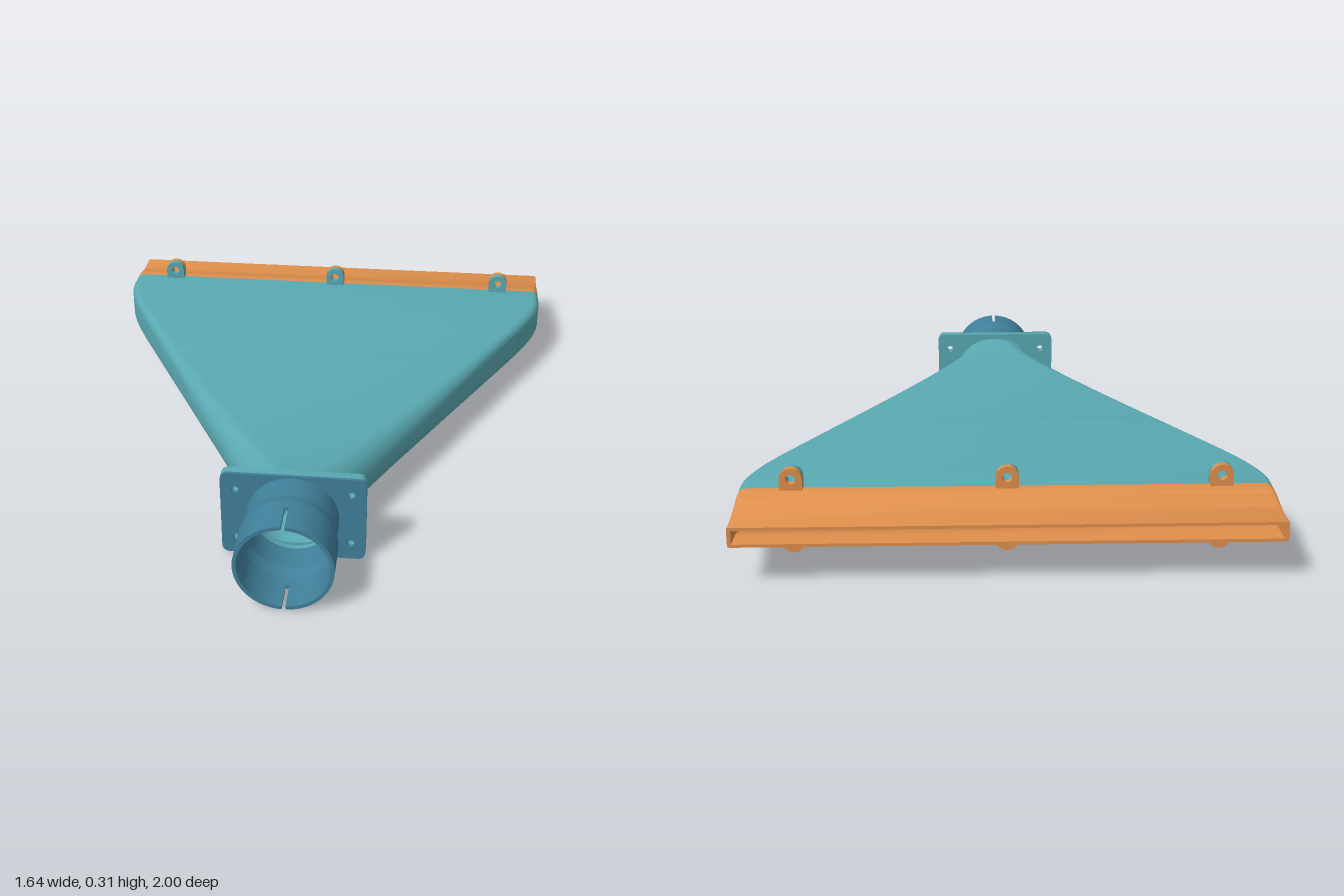
import * as THREE from 'three';
import { toCreasedNormals } from 'three/addons/utils/BufferGeometryUtils.js';

const CY = 0.155; // height of the centre axis
const WALL = 0.012;

function material(name, color, side = THREE.FrontSide) {
  const m = new THREE.MeshStandardMaterial({ color, side });
  m.name = name;
  return m;
}

// Rounded-rectangle ring, anticlockwise seen from +z
function ring({ x = 0, z, hw, hh, r }, k = 8) {
  const pts = [];
  r = Math.max(0, Math.min(r, hw, hh));
  [[1, 1], [-1, 1], [-1, -1], [1, -1]].forEach(([sx, sy], q) => {
    for (let i = 0; i <= k; i++) {
      const a = (q + i / k) * Math.PI / 2;
      pts.push([x + sx * (hw - r) + r * Math.cos(a), sy * (hh - r) + r * Math.sin(a), z]);
    }
  });
  return pts;
}

// Skin through rings running towards -z; closed joins the last ring to the first
function loft(sections, closed) {
  const rings = sections.map((s) => ring(s));
  const n = rings[0].length;
  const index = [];
  const last = closed ? rings.length : rings.length - 1;
  for (let i = 0; i < last; i++) {
    for (let j = 0; j < n; j++) {
      const i2 = (i + 1) % rings.length, j2 = (j + 1) % n;
      const a = i * n + j, b = i * n + j2, c = i2 * n + j2, d = i2 * n + j;
      index.push(a, d, c, a, c, b);
    }
  }
  const g = new THREE.BufferGeometry();
  g.setAttribute('position', new THREE.Float32BufferAttribute(rings.flat(2), 3));
  g.setIndex(index);
  return toCreasedNormals(g, 0.5);
}

// Hollow duct: outer skin out, inner skin back
function duct(sections) {
  const inner = sections.map((s) => ({ ...s, hw: s.hw - WALL, hh: s.hh - (s.wall ?? WALL), r: s.r - WALL * 0.6 }));
  return loft([...sections, ...inner.reverse()], true);
}

// Smooth sampling of [z, half width, half height] stations
function stations(list, count) {
  const curve = new THREE.CatmullRomCurve3(list.map(([z, w, h]) => new THREE.Vector3(w, h, z)), false, 'centripetal');
  return curve.getPoints(count).map((p) => ({ z: p.z, hw: p.x, hh: p.y }));
}

function plate(shape, z0, z1) {
  const g = new THREE.ExtrudeGeometry(shape, { depth: z1 - z0, bevelEnabled: false, curveSegments: 24 });
  g.translate(0, 0, z0);
  return toCreasedNormals(g, 0.5);
}

function circleHole(x, y, r) {
  return new THREE.Path().absarc(x, y, r, 0, Math.PI * 2, true);
}

export function createModel() {
  const root = new THREE.Group();
  const model = new THREE.Group();
  model.name = 'fanNozzle';
  model.position.y = CY;
  root.add(model);

  const teal = material('teal', 0x5aa9b2);
  const blue = material('deepTeal', 0x40809a);
  const orange = material('orange', 0xe0904c);

  const add = (name, geometry, mat) => {
    const m = new THREE.Mesh(geometry, mat);
    m.name = name;
    model.add(m);
    return m;
  };

  // Fan-shaped body, round at the throat and flat at the wide end
  const body = stations([
    [0.71, 0.148, 0.133], [0.65, 0.16, 0.121], [0.58, 0.187, 0.109], [0.4, 0.277, 0.092],
    [0.2, 0.382, 0.081], [0, 0.486, 0.076], [-0.3, 0.643, 0.072], [-0.5, 0.748, 0.07],
    [-0.58, 0.785, 0.069], [-0.64, 0.807, 0.068], [-0.7, 0.82, 0.068], [-0.78, 0.82, 0.068],
  ], 60);
  body.forEach((s) => { s.r = s.hh * (0.42 + 0.58 * THREE.MathUtils.smoothstep(s.z, -0.6, 0.7)); });
  add('fanBody', duct(body), teal);

  // Two diverging guide vanes inside the body
  for (const side of [1, -1]) {
    const vane = body.filter((s) => s.z < 0.6).map((s) => ({
      x: side * THREE.MathUtils.mapLinear(s.z, 0.6, -0.78, 0.046, 0.28),
      z: s.z, hw: 0.006, hh: s.hh - 0.006, r: 0.002,
    }));
    const ends = [vane[0], vane[vane.length - 1]].map((s) => ({ ...s, hw: 0, hh: 0, r: 0 }));
    add(side > 0 ? 'leftVane' : 'rightVane', loft([ends[0], ...vane, ends[1]], false), teal);
  }

  // Outlet lip narrowing to a flat slot
  const lip = stations([
    [-0.78, 0.82, 0.068], [-0.8, 0.82, 0.067], [-0.83, 0.82, 0.06], [-0.87, 0.82, 0.045],
    [-0.9, 0.82, 0.036], [-0.93, 0.82, 0.032], [-1, 0.82, 0.031],
  ], 28);
  lip.forEach((s) => {
    const t = THREE.MathUtils.smoothstep(-s.z, 0.78, 0.93);
    s.r = THREE.MathUtils.lerp(0.0286, 0.006, t);
    s.wall = THREE.MathUtils.lerp(WALL, 0.0095, t);
  });
  add('outletLip', duct(lip), orange);

  // Paired screw lugs above and below the joint
  const lug = new THREE.Shape();
  lug.moveTo(-0.035, 0.06);
  lug.lineTo(0.035, 0.06);
  lug.lineTo(0.035, 0.102);
  lug.absarc(0, 0.102, 0.035, 0, Math.PI, false);
  lug.closePath();
  lug.holes.push(circleHole(0, 0.102, 0.015));
  const bodyLug = plate(lug, -0.78, -0.76);
  const lipLug = plate(lug, -0.8, -0.78);
  for (const x of [-0.655, 0, 0.655]) {
    for (const turn of [0, Math.PI]) {
      for (const m of [add('bodyLug', bodyLug, teal), add('lipLug', lipLug, orange)]) {
        m.position.x = x;
        m.rotation.z = turn;
      }
    }
  }

  // Bolted mounting flange
  const flange = new THREE.Shape(ring({ z: 0, hw: 0.23, hh: 0.152, r: 0.025 }).map(([x, y]) => new THREE.Vector2(x, y)));
  flange.holes.push(circleHole(0, 0, 0.133));
  for (const x of [-0.183, 0.183]) {
    for (const y of [-0.092, 0.092]) flange.holes.push(circleHole(x, y, 0.012));
  }
  add('bodyFlange', plate(flange, 0.698, 0.726), teal);
  add('pipeFlange', plate(flange, 0.726, 0.735), blue);

  // Stepped inlet pipe
  const profile = [
    [0.133, 0.726], [0.146, 0.726], [0.146, 0.825], [0.155, 0.865], [0.155, 0.9],
    [0.143, 0.9], [0.143, 0.865], [0.133, 0.825], [0.133, 0.726],
  ].map(([r, z]) => new THREE.Vector2(r, z));
  const pipe = new THREE.LatheGeometry(profile, 64);
  pipe.rotateX(Math.PI / 2);
  add('inletPipe', toCreasedNormals(pipe, 0.2), blue);

  // Split pipe collar, slotted at top and bottom
  for (const side of [0, 1]) {
    const gap = 0.04;
    const a0 = -Math.PI / 2 + side * Math.PI + gap, a1 = a0 + Math.PI - 2 * gap;
    const half = new THREE.Shape();
    half.absarc(0, 0, 0.155, a0, a1, false);
    half.absarc(0, 0, 0.143, a1, a0, true);
    half.closePath();
    add(side ? 'rightCollar' : 'leftCollar', plate(half, 0.9, 1), blue);
  }

  return root;
}
